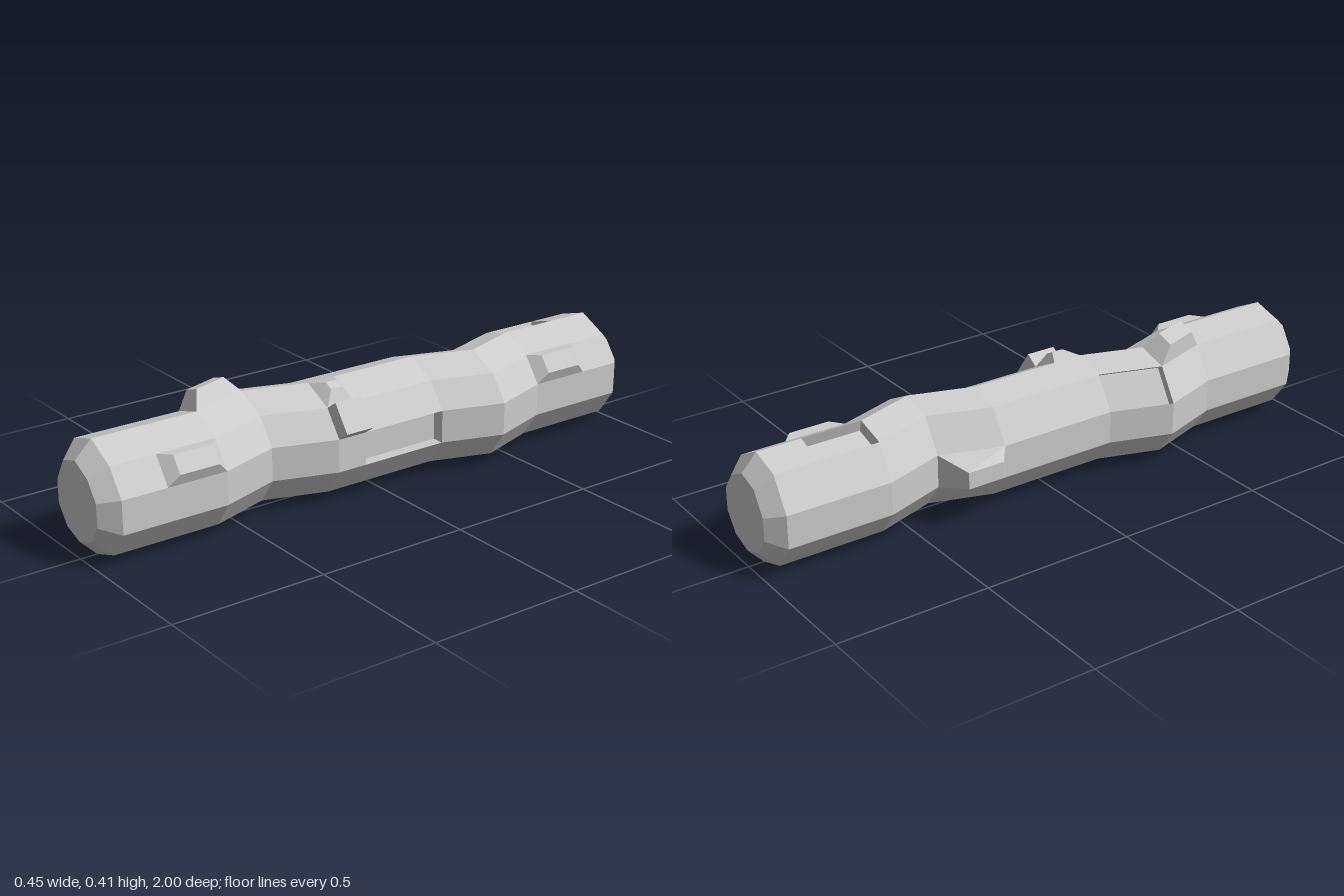
import * as THREE from 'three';

// Ten-sided cross-section, counter-clockwise from the top ridge
const section = [
  [0, 0.36], [-0.1, 0.33], [-0.163, 0.225], [-0.163, 0.118], [-0.1, 0.034],
  [0, 0], [0.1, 0.034], [0.16, 0.118], [0.16, 0.225], [0.1, 0.309],
];
const N = section.length;

// Rings along the log: z, sideways bend, scale (ends are bevelled)
const rings = [
  [1, 0, 0.7], [0.945, 0, 1], [0.795, 0, 1], [0.595, 0, 1], [0.395, -0.066, 1],
  [0.195, 0, 1], [0.095, 0, 1], [-0.205, 0, 1], [-0.405, 0.066, 1],
  [-0.605, 0, 1], [-0.805, 0, 1], [-0.95, 0, 1], [-1, 0, 0.7],
].map(([z, bend, s]) => section.map(([x, y]) =>
  new THREE.Vector3(x * s + bend, 0.181 + (y - 0.181) * s, z)));

// Raised or sunken panels, keyed by ring span and side.
// depth moves along the face normal; along/across shrink the outer face.
const features = {
  '2,8': { name: 'frontKnot', depth: 0.032, along: 0.66, across: 0.6 },
  '9,8': { name: 'backKnot', depth: 0.032, along: 0.66, across: 0.6 },
  '5,8': { name: 'twigStub', depth: 0.05, along: 1, across: 1 },
  '5,9': { name: 'smallKnot', depth: 0.032, along: 0.4, across: 0.27 },
  '6,7': { name: 'rightHollow', depth: -0.04, along: 1, across: 1 },
  '9,0': { name: 'topHollow', depth: -0.04, along: 1, across: 1 },
  '4,1': { name: 'leftHollow', depth: -0.04, along: 1, across: 1 },
  '3,0': {
    name: 'topKnot',
    outer: [[-0.053, 0.406, 0.56], [-0.092, 0.406, 0.44], [-0.15, 0.387, 0.44], [-0.11, 0.387, 0.56]],
  },
  '7,2': {
    name: 'leftKnot',
    outer: [[-0.205, 0.2, -0.24], [-0.205, 0.2, -0.365], [-0.205, 0.145, -0.365], [-0.205, 0.145, -0.24]],
  },
};

// Outer corners of a feature standing on the base quad
function outerCorners(base, f) {
  if (f.outer) return f.outer.map((p) => new THREE.Vector3(...p));
  const [a, d, c, b] = base;
  const centre = base.reduce((s, p) => s.add(p), new THREE.Vector3()).multiplyScalar(0.25);
  const along = a.clone().sub(d).multiplyScalar(0.5 * f.along);
  const across = a.clone().sub(b).multiplyScalar(0.5 * f.across);
  const normal = d.clone().sub(a).cross(c.clone().sub(d)).normalize();
  centre.addScaledVector(normal, f.depth);
  return [[1, 1], [-1, 1], [-1, -1], [1, -1]].map(([u, v]) =>
    centre.clone().addScaledVector(along, u).addScaledVector(across, v));
}

// Fan-triangulated flat polygons joined into one mesh
function polygonMesh(name, polygons) {
  const points = [];
  for (const p of polygons) {
    for (let k = 1; k < p.length - 1; k++) points.push(p[0], p[k], p[k + 1]);
  }
  const geometry = new THREE.BufferGeometry().setFromPoints(points);
  geometry.computeVertexNormals();
  const mesh = new THREE.Mesh(geometry,
    new THREE.MeshStandardMaterial({ color: 0xcccccc, flatShading: true }));
  mesh.name = name;
  return mesh;
}

export function createModel() {
  const group = new THREE.Group();
  group.name = 'log';
  const bark = [];

  for (let r = 0; r < rings.length - 1; r++) {
    for (let i = 0; i < N; i++) {
      const j = (i + 1) % N;
      const base = [rings[r][i], rings[r + 1][i], rings[r + 1][j], rings[r][j]];
      const feature = features[`${r},${i}`];
      if (!feature) {
        bark.push(base);
        continue;
      }
      // Outer face plus its four walls replace the plain bark panel
      const outer = outerCorners(base, feature);
      const walls = base.map((p, k) => {
        const n = (k + 1) % 4;
        return [p, base[n], outer[n], outer[k]];
      });
      group.add(polygonMesh(feature.name, [outer, ...walls]));
    }
  }

  group.add(polygonMesh('bark', bark));
  group.add(polygonMesh('frontEnd', [rings[0]]));
  group.add(polygonMesh('backEnd', [[...rings[rings.length - 1]].reverse()]));
  return group;
}
